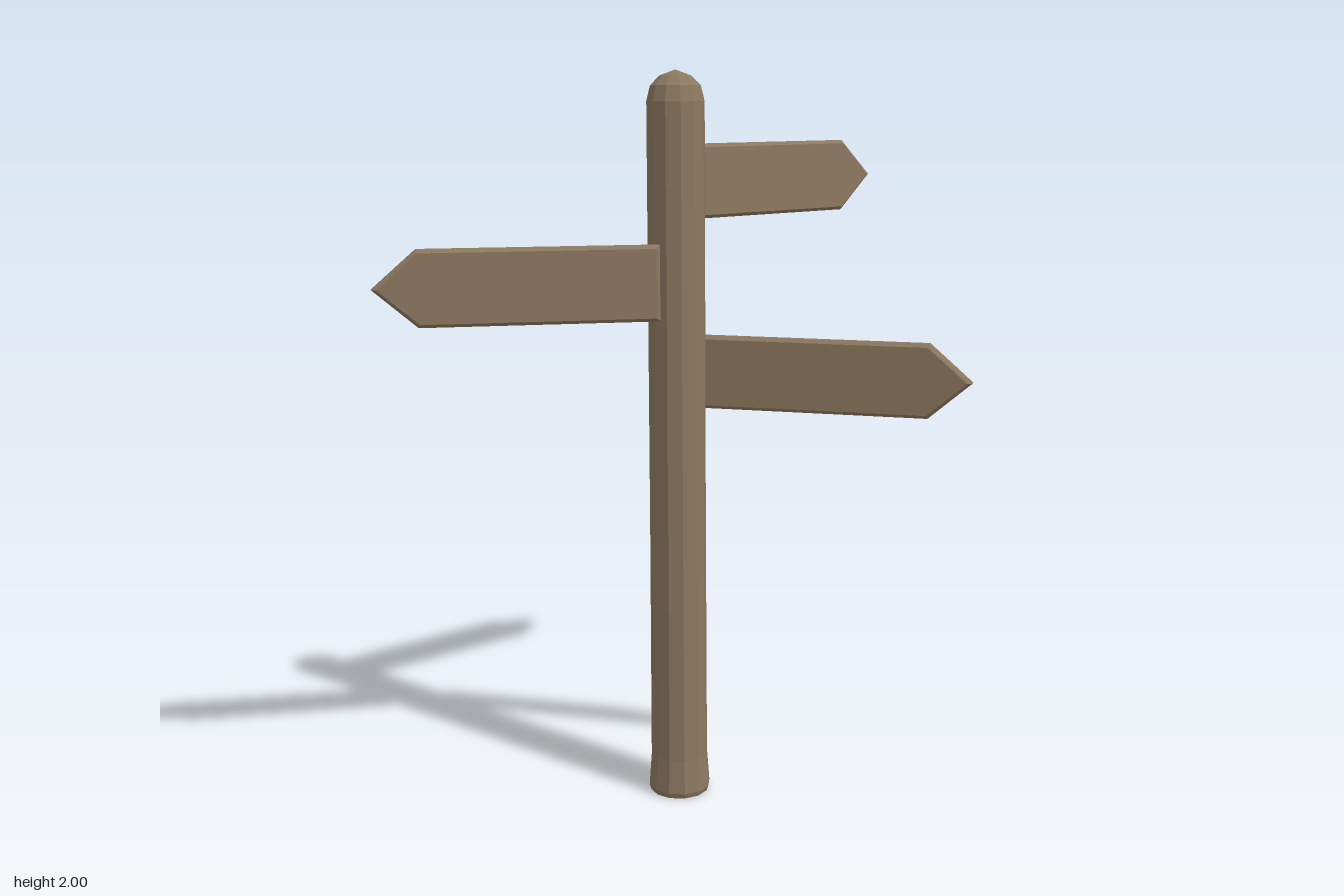
import * as THREE from 'three';

const wood = new THREE.MeshStandardMaterial({ color: 0x8c7860 });
wood.name = 'wood';

// faceted normals
function faceted(geometry) {
  const g = geometry.index ? geometry.toNonIndexed() : geometry;
  g.computeVertexNormals();
  return g;
}

// arrow board running along +x from its root, bevelled on all edges
function arrowBoard(name, length, x, y, z, degrees) {
  const half = 0.1, shoulder = length - 0.115, bevel = 0.009, thick = 0.037;
  const shape = new THREE.Shape([
    [0, -half], [shoulder, -half], [length, 0], [shoulder, half], [0, half],
  ].map(([px, py]) => new THREE.Vector2(px, py)));
  const geo = new THREE.ExtrudeGeometry(shape, {
    depth: thick - 2 * bevel, bevelEnabled: true, bevelSegments: 1,
    bevelSize: bevel, bevelThickness: bevel, bevelOffset: -bevel,
  });
  geo.translate(0, 0, -(thick - 2 * bevel) / 2);
  const board = new THREE.Mesh(faceted(geo), wood);
  board.name = name;
  board.position.set(x, y, z);
  board.rotation.y = THREE.MathUtils.degToRad(degrees);
  return board;
}

export function createModel() {
  const group = new THREE.Group();
  group.name = 'signpost';

  // post with flared foot and domed top
  const profile = [
    [0, 0], [0.082, 0], [0.087, 0.015], [0.08, 0.11], [0.078, 0.78],
    [0.077, 1.92], [0.067, 1.96], [0.042, 1.985], [0, 2],
  ].map(([r, y]) => new THREE.Vector2(r, y));
  const post = new THREE.Mesh(faceted(new THREE.LatheGeometry(profile, 12)), wood);
  post.name = 'post';
  post.position.set(-0.035, 0, -0.13);
  group.add(post);

  // three boards pointing different ways
  group.add(
    arrowBoard('topBoard', 0.74, 0.017, 1.708, -0.196, 0),
    arrowBoard('middleBoard', 0.74, -0.11, 1.455, -0.11, 150),
    arrowBoard('lowerBoard', 0.74, 0.047, 1.2, -0.131, -55.5),
  );
  return group;
}
